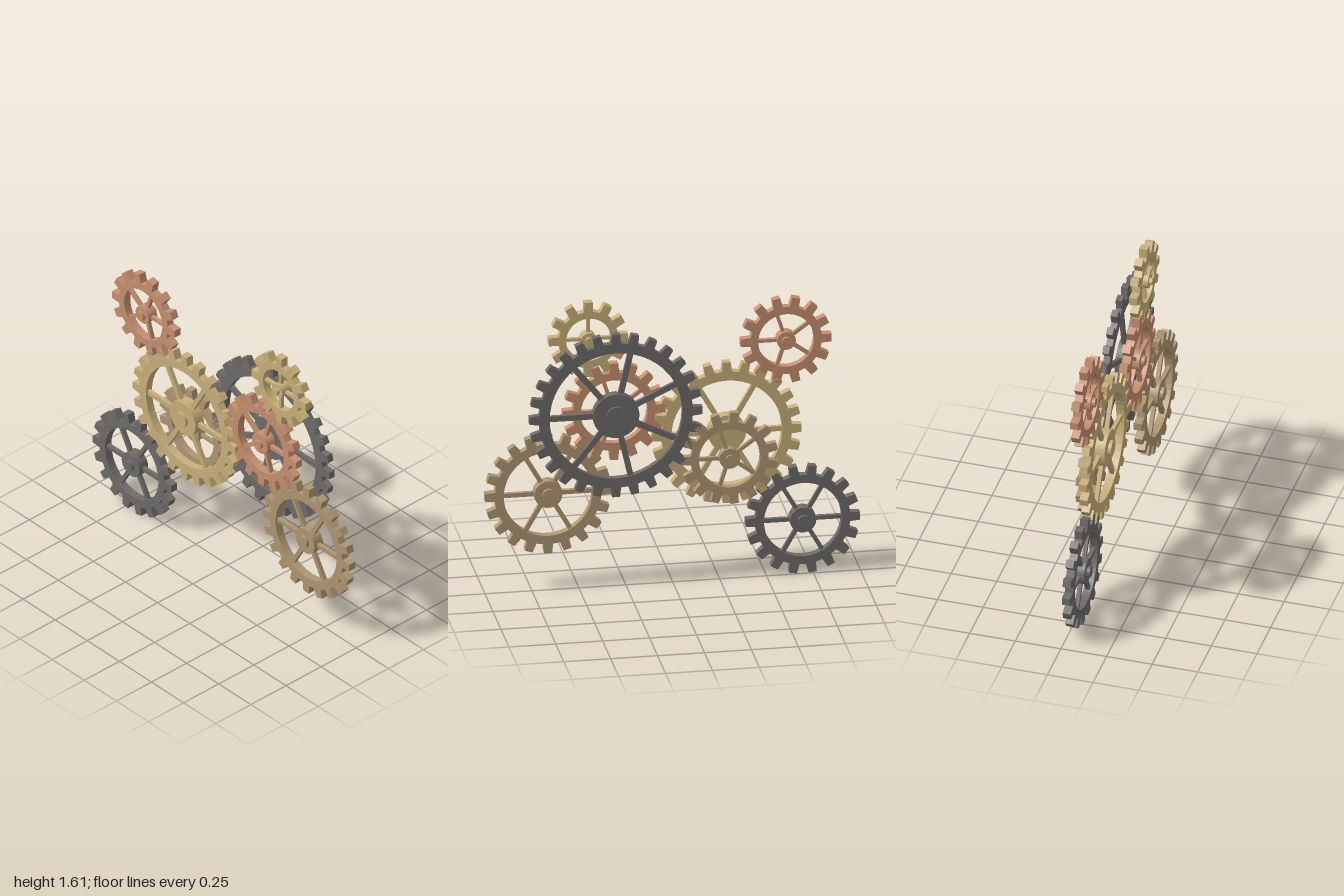
import * as THREE from 'three';

const copper = new THREE.MeshStandardMaterial({ color: 0xc69070 });
copper.name = 'copper';
const brass = new THREE.MeshStandardMaterial({ color: 0xc8b07a });
brass.name = 'brass';
const bronze = new THREE.MeshStandardMaterial({ color: 0xae9672 });
bronze.name = 'bronze';
const iron = new THREE.MeshStandardMaterial({ color: 0x6e6b69 });
iron.name = 'dark iron';

const MODULE = 0.0312; // pitch diameter per tooth, shared so that the gears mesh

// The two layers of gears: middle z, then thickness of rim, spokes, hub and shaft
const FRONT = { z: 0.027, rim: 0.044, spoke: 0.022, hub: 0.06, shaft: 0.096 };
const BACK = { z: -0.035, rim: 0.036, spoke: 0.02, hub: 0.048, shaft: 0.076 };

const GEARS = [
  { name: 'upperLeftCopperGear', x: -0.606, y: 1.33, teeth: 14, spokes: 5, hub: 0.05, shaft: 0.026, mat: copper, layer: FRONT },
  { name: 'largeBrassGear', x: -0.29, y: 0.828, teeth: 24, spokes: 6, hub: 0.1, shaft: 0.042, mat: brass, layer: FRONT },
  { name: 'rearBronzeGear', x: -0.295, y: 0.705, teeth: 15, spokes: 5, hub: 0.056, shaft: 0.023, mat: bronze, layer: BACK },
  { name: 'lowerIronGear', x: -0.695, y: 0.308, teeth: 18, spokes: 6, hub: 0.07, shaft: 0.029, mat: iron, layer: FRONT },
  { name: 'rearLargeIronGear', x: 0.31, y: 0.988, teeth: 28, spokes: 7, hub: 0.123, shaft: 0.055, mat: iron, layer: BACK },
  { name: 'middleCopperGear', x: 0.31, y: 0.988, teeth: 16, spokes: 5, hub: 0.06, shaft: 0.027, mat: copper, layer: FRONT },
  { name: 'smallBrassGear', x: 0.447, y: 1.405, teeth: 12, spokes: 4, hub: 0.04, shaft: 0.019, mat: brass, layer: FRONT },
  { name: 'lowerBronzeGear', x: 0.662, y: 0.545, teeth: 20, spokes: 6, hub: 0.075, shaft: 0.034, mat: bronze, layer: FRONT },
];

// Toothed ring with tapered teeth and a round opening
function toothedRim(teeth, root, tip, inner, depth) {
  const pts = [];
  const step = (Math.PI * 2) / teeth;
  for (let i = 0; i < teeth; i++) {
    for (const [r, f] of [[root, -0.29], [tip, -0.2], [tip, 0.2], [root, 0.29]]) {
      const a = (i + f) * step;
      pts.push(new THREE.Vector2(Math.cos(a) * r, Math.sin(a) * r));
    }
  }
  const shape = new THREE.Shape(pts);
  shape.holes.push(new THREE.Path().absarc(0, 0, inner, 0, Math.PI * 2, true));
  const geo = new THREE.ExtrudeGeometry(shape, { depth, bevelEnabled: false, curveSegments: 24 });
  return geo.translate(0, 0, -depth / 2);
}

// Cylinder lying along z
function disc(radius, depth) {
  return new THREE.CylinderGeometry(radius, radius, depth, 32).rotateX(Math.PI / 2);
}

function makeGear({ name, x, y, teeth, spokes, hub, shaft, mat, layer }) {
  const gear = new THREE.Group();
  gear.name = name;
  gear.position.set(x, y, layer.z);
  const add = (part, geo) => {
    const mesh = new THREE.Mesh(geo, mat);
    mesh.name = part;
    gear.add(mesh);
    return mesh;
  };

  const pitch = (MODULE * teeth) / 2;
  const root = pitch - 0.028;
  const inner = root - (0.03 + 0.06 * root);
  add('toothedRim', toothedRim(teeth, root, pitch + 0.0245, inner, layer.rim));
  add('hub', disc(hub, layer.hub));
  add('shaft', disc(shaft, layer.shaft));

  // Spokes run from inside the hub into the rim
  const start = hub * 0.8;
  const end = inner + 0.012;
  const width = 0.008 + 0.055 * root;
  for (let i = 0; i < spokes; i++) {
    const geo = new THREE.BoxGeometry(end - start, width, layer.spoke);
    geo.translate((start + end) / 2, 0, 0);
    add('spoke', geo).rotation.z = (i / spokes) * Math.PI * 2;
  }
  return gear;
}

export function createModel() {
  const model = new THREE.Group();
  model.name = 'gearTrain';
  for (const spec of GEARS) model.add(makeGear(spec));
  return model;
}
